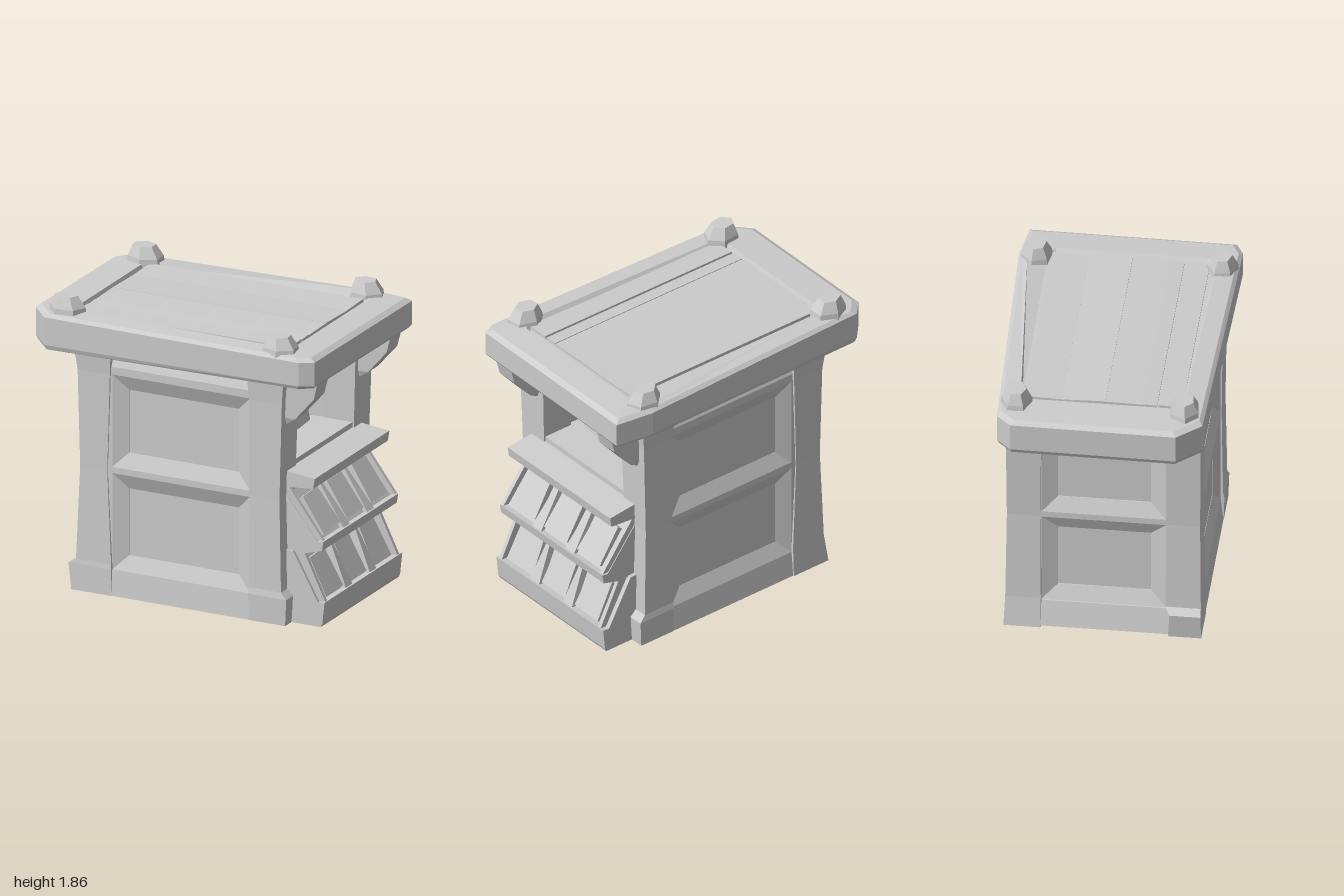
import * as THREE from 'three';

const stone = new THREE.MeshStandardMaterial({ color: 0xcccccc, flatShading: true });
stone.name = 'plain grey';

// Closed solid through rings of equal point count, counterclockwise from above, bottom to top
function loft(rings) {
  const n = rings[0].length, pos = [];
  const tri = (a, b, c) => pos.push(...a, ...b, ...c);
  for (let i = 0; i < rings.length - 1; i++) {
    for (let j = 0; j < n; j++) {
      const k = (j + 1) % n;
      tri(rings[i][j], rings[i][k], rings[i + 1][k]);
      tri(rings[i][j], rings[i + 1][k], rings[i + 1][j]);
    }
  }
  const first = rings[0], last = rings[rings.length - 1];
  for (let j = 1; j < n - 1; j++) {
    tri(first[0], first[j + 1], first[j]);
    tri(last[0], last[j], last[j + 1]);
  }
  const g = new THREE.BufferGeometry();
  g.setAttribute('position', new THREE.Float32BufferAttribute(pos, 3));
  g.computeVertexNormals();
  return g;
}

// Rectangular cross-section at height y
const rect = (y, x0, x1, z0, z1) => [[x0, y, z1], [x1, y, z1], [x1, y, z0], [x0, y, z0]];

// Prism with an (x, y) profile, running along z
function prism(points, z0, z1) {
  const shape = new THREE.Shape(points.map(p => new THREE.Vector2(...p)));
  return new THREE.ExtrudeGeometry(shape, { depth: z1 - z0, bevelEnabled: false }).translate(0, 0, z0);
}

const box = (x0, x1, y0, y1, z0, z1) =>
  new THREE.BoxGeometry(x1 - x0, y1 - y0, z1 - z0).translate((x0 + x1) / 2, (y0 + y1) / 2, (z0 + z1) / 2);

function path(Type, x0, x1, y0, y1) {
  const p = new Type();
  p.moveTo(x0, y0);
  p.lineTo(x1, y0);
  p.lineTo(x1, y1);
  p.lineTo(x0, y1);
  p.closePath();
  return p;
}

// Wall frame with two shallow, softly bevelled panels and a ridged middle rail; its face lies at z = 0
function wallFrame(x0, x1) {
  const s = path(THREE.Shape, x0 - 0.06, x1 + 0.06, 0.11, 1.47);
  s.holes.push(path(THREE.Path, x0, x1, 0.165, 0.785), path(THREE.Path, x0, x1, 0.825, 1.42));
  return new THREE.ExtrudeGeometry(s, {
    depth: 0.01, bevelThickness: 0.04, bevelSize: 0.095, bevelSegments: 1,
  }).translate(0, 0, -0.05);
}

export function createModel() {
  const model = new THREE.Group();
  model.name = 'marketKiosk';
  const add = (name, geometry) => {
    const m = new THREE.Mesh(geometry, stone);
    m.name = name;
    model.add(m);
    return m;
  };

  // Body: solid counter block below, hollow room above
  add('lowerBody', box(-0.575, 0.7, 0.02, 0.98, -0.54, 0.54));
  add('basePlinth', loft([rect(0, -0.67, 0.74, -0.598, 0.598), rect(0.165, -0.63, 0.74, -0.582, 0.582)]));
  add('rearRoomWall', box(-0.575, -0.45, 0.95, 1.57, -0.54, 0.54));
  for (const s of [1, -1]) {
    add('sideRoomWall', box(-0.575, 0.6, 0.95, 1.57, s > 0 ? 0.42 : -0.54, s > 0 ? 0.54 : -0.42));
    const frame = add('sidePanelFrame', wallFrame(-0.42, 0.52));
    frame.position.z = s * 0.582;
    if (s < 0) {
      frame.rotation.y = Math.PI;
      frame.position.x = 0.1;
    }
  }
  const rear = add('rearPanelFrame', wallFrame(-0.38, 0.38));
  rear.rotation.y = -Math.PI / 2;
  rear.position.x = -0.62;

  // Corner posts with flared feet and caps
  for (const s of [1, -1]) {
    const post = (name, rows) => add(name, loft(rows.map(([y, x0, x1, a, b]) =>
      rect(y, x0, x1, s > 0 ? a : -b, s > 0 ? b : -a))));
    const rearFoot = s > 0
      ? [[0, -0.69, -0.42, 0.4, 0.602], [0.17, -0.71, -0.42, 0.41, 0.6], [0.2, -0.66, -0.42, 0.38, 0.597]]
      : [[0, -0.69, -0.42, 0.38, 0.605], [0.2, -0.66, -0.42, 0.38, 0.597]];
    post('rearPost', [...rearFoot,
      [0.8, -0.635, -0.45, 0.385, 0.59], [1.42, -0.65, -0.43, 0.38, 0.595], [1.56, -0.67, -0.42, 0.36, 0.605]]);
    post('frontPost', [
      [0, 0.52, 0.77, 0.4, 0.6], [0.17, 0.52, 0.78, 0.42, 0.605], [0.21, 0.52, 0.74, 0.38, 0.597],
      [0.8, 0.52, 0.725, 0.385, 0.588], [1.42, 0.52, 0.745, 0.375, 0.595], [1.58, 0.51, 0.76, 0.36, 0.605]]);
    // Slanted roof brace over the counter
    post('roofBrace', [
      [1.28, 0.68, 0.75, 0.43, 0.53], [1.32, 0.68, 0.81, 0.415, 0.545],
      [1.47, 0.68, 0.94, 0.41, 0.55], [1.59, 0.68, 0.97, 0.41, 0.555]]);
  }

  // Serving window: lintel, inner beam, sill and goods inside
  add('windowLintel', loft([rect(1.37, 0.56, 0.66, -0.4, 0.4), rect(1.43, 0.54, 0.71, -0.4, 0.4),
    rect(1.57, 0.54, 0.66, -0.4, 0.4)]));
  add('innerBeam', box(-0.5, -0.36, 1.34, 1.42, -0.43, 0.43));
  add('windowSill', box(0.5, 0.72, 0.95, 0.995, -0.4, 0.4));
  [[0.235, 0.2, 0.16], [0.015, 0.18, 0.13], [-0.235, 0.2, 0.14]].forEach(([z, w, h], i) => {
    const m = add('storedBox', loft([rect(0, -0.12, 0.12, -w / 2, w / 2),
      rect(h, -0.1, 0.1, -w / 2 + 0.012, w / 2 - 0.012)]));
    m.position.set(0.34, 0.98, z);
    m.rotation.y = (i - 1) * 0.08;
  });

  // Counter board
  add('counterBoard', prism([[0.6, 0.87], [0.74, 0.86], [0.91, 0.875], [0.92, 0.94], [0.74, 0.96], [0.6, 0.97]], -0.485, 0.5));

  // Two slanted display shelves
  add('lowerShelf', prism([[0.65, 0], [0.97, 0], [0.98, 0.02], [0.995, 0.16], [0.95, 0.155],
    [0.78, 0.46], [0.65, 0.46]], -0.51, 0.515));
  add('upperShelf', prism([[0.65, 0.45], [0.85, 0.45], [0.97, 0.485], [0.98, 0.545], [0.94, 0.54],
    [0.71, 0.83], [0.65, 0.87]], -0.485, 0.5));
  // Each shelf has end cheeks, tapering dividers and three leaning crates
  const tiers = [
    { y0: 0.14, y1: 0.47, x0: 0.99, x1: 0.84, cx: 0.875, cy: 0.27, lean: 0.49 },
    { y0: 0.53, y1: 0.87, x0: 0.975, x1: 0.735, cx: 0.845, cy: 0.66, lean: 0.62 },
  ];
  for (const t of tiers) {
    const edge = [[0.68, t.y0], [t.x0, t.y0 + 0.02], [t.x1, t.y1], [0.68, t.y1]];
    add('leftCheek', prism(edge, 0.47, 0.495));
    add('rightCheek', prism(edge, -0.48, -0.455));
    for (const z of [-0.15, 0.165]) {
      add('shelfDivider', loft([rect(t.y0, 0.68, t.x0, z - 0.045, z + 0.045),
        rect(t.y1, 0.66, t.x1, z - 0.006, z + 0.006)]));
    }
    [-0.31, 0.01, 0.32].forEach((z, i) => {
      const crate = add('displayCrate', loft([rect(-0.13, -0.06, 0.03, -0.11, 0.11),
        rect(0.13, -0.06, 0.035, -0.095, 0.095)]));
      crate.position.set(t.cx, t.cy, z);
      crate.rotation.set((i - 1) * 0.04, 0, t.lean);
    });
  }

  // Roof slab: chamfered outline with a raised rim around a sunken top, its underside rising towards the counter
  const outline = [[-0.86, 0.63], [0.9, 0.675], [0.985, 0.63], [0.995, -0.64], [0.74, -0.675], [-0.9, -0.62],
    [-0.985, -0.53], [-0.995, 0.48]];
  const rim = [[-0.68, 0.5], [0.72, 0.54], [0.79, 0.48], [0.79, -0.46], [0.72, -0.62], [-0.66, -0.5],
    [-0.74, -0.42], [-0.74, 0.42]];
  const sunken = [[-0.67, 0.48], [0.7, 0.52], [0.77, 0.47], [0.77, -0.45], [0.72, -0.5], [-0.66, -0.49],
    [-0.73, -0.42], [-0.73, 0.42]];
  const ring = (pts, y, tilt, k = 1) => pts.map(([x, z]) => [x * k, y + tilt * x, z * k]);
  add('roofSlab', loft([ring(outline, 1.545, 0.025, 0.985), ring(outline, 1.57, 0.02), ring(outline, 1.735, 0.005),
    ring(outline, 1.755, 0.006, 0.965), ring(rim, 1.764, 0.007), ring(sunken, 1.74, 0.007)]));
  // Uneven roof boards within the rim
  [[-0.47, -0.245, 0.03], [-0.245, 0.02, -0.03], [0.02, 0.25, 0.02], [0.25, 0.335, 0.05], [0.345, 0.49, 0.04]]
    .forEach(([z0, z1, tilt]) => {
      const board = add('roofBoard', box(-0.71, 0.75, -0.01, 0.012, (z0 - z1) / 2, (z1 - z0) / 2));
      board.position.set(0, 1.745, (z0 + z1) / 2);
      board.rotation.set(tilt, 0, 0.007);
    });
  // Faceted corner studs on the roof: [x, z, turn]
  [[-0.76, -0.515, 0.5], [0.725, -0.565, 0.2], [-0.76, 0.51, 0.9], [0.725, 0.57, 0.4]].forEach(([x, z, turn]) => {
    const hexagon = (y, r, dx) => Array.from({ length: 6 }, (_, i) => {
      const a = -i * Math.PI / 3 + turn;
      return [dx + r * Math.cos(a), y, 0.82 * r * Math.sin(a)];
    });
    const stud = add('roofStud', loft([hexagon(1.73, 0.122, 0), hexagon(1.785, 0.115, 0), hexagon(1.855, 0.075, -0.01)]));
    stud.position.set(x, 0, z);
  });

  return model;
}
